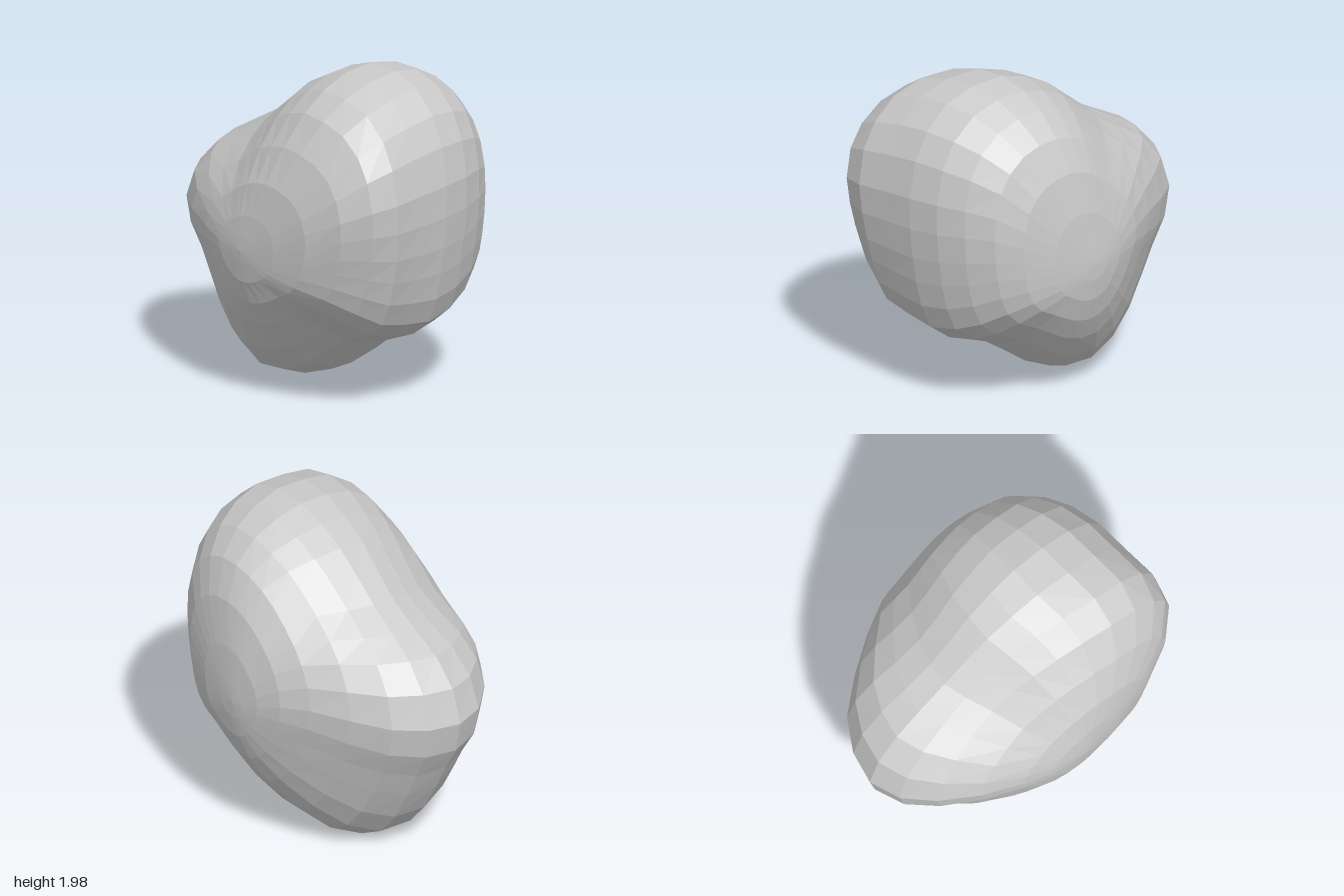
import * as THREE from 'three';

// Widest outline, counter-clockwise from +x in 12 degree steps: [x, y]
const OUTLINE = [
  [0.98, 1.0], [1.0, 1.19], [1.0, 1.38], [0.955, 1.6], [0.87, 1.77], [0.72, 1.91],
  [0.52, 1.975], [0.29, 1.98], [0.1, 1.92], [-0.08, 1.83], [-0.22, 1.72], [-0.4, 1.58],
  [-0.6, 1.47], [-0.78, 1.37], [-0.93, 1.21], [-1.0, 1.0], [-0.96, 0.8], [-0.86, 0.63],
  [-0.77, 0.46], [-0.65, 0.26], [-0.51, 0.1], [-0.32, 0.0], [-0.1, 0.01], [0.1, 0.1],
  [0.25, 0.21], [0.4, 0.31], [0.69, 0.42], [0.84, 0.53], [0.91, 0.68], [0.95, 0.84],
];

// Rings from front to back: [z, left, right, bottom, top]
const RINGS = [
  [0.75, 0.0, 0.2, 0.87, 1.04],
  [0.735, -0.13, 0.38, 0.75, 1.17],
  [0.69, -0.31, 0.62, 0.61, 1.38],
  [0.59, -0.56, 0.83, 0.44, 1.6],
  [0.45, -0.78, 0.96, 0.24, 1.79],
  [0.29, -0.93, 1.0, 0.08, 1.9],
  [0.1, -1.0, 0.98, 0.01, 1.96],
  [-0.1, -0.96, 0.945, 0.0, 1.98],
  [-0.29, -0.85, 0.89, 0.08, 1.945],
  [-0.45, -0.66, 0.81, 0.22, 1.87],
  [-0.59, -0.45, 0.7, 0.4, 1.74],
  [-0.68, -0.28, 0.56, 0.56, 1.54],
  [-0.73, -0.12, 0.37, 0.71, 1.28],
  [-0.75, 0.0, 0.19, 0.84, 1.05],
];

// Smooth swelling around one step of the outline, wrapping past the start
function swell(i, centre, width) {
  const n = OUTLINE.length;
  const d = Math.abs(i - centre);
  return Math.exp(-((Math.min(d, n - d) / width) ** 2));
}

function rockGeometry() {
  const n = OUTLINE.length;
  const positions = [0.09, 0.95, 0.757];
  const index = [];

  // Each ring blends from a circle near the poles to the full outline
  for (const [z, left, right, bottom, top] of RINGS) {
    const size = (right - left) / 2;
    const w = Math.min(1, 0.1 + 0.92 * size);
    const middle = 2 * Math.sqrt(Math.max(0, size * (1 - size)));
    OUTLINE.forEach(([x, y], i) => {
      const a = (i / n) * Math.PI * 2;
      // Full upper right shoulder; lower right is flatter in front, fuller behind
      const lower = z > 0 ? -0.06 : 0.04;
      const scale = 1 + middle * (0.06 * swell(i, 3, 2.5) + lower * swell(i, 27.5, 3.5));
      const u = THREE.MathUtils.lerp(Math.cos(a), x, w) * scale;
      const v = THREE.MathUtils.lerp(Math.sin(a), y / 0.99 - 1, w) * scale;
      // Outer rings lie closer together in the valleys of the outline
      const reach = Math.min(Math.hypot(x, y - 1), z > 0 ? 1.1 : 1);
      positions.push(
        (left + right) / 2 + u * size,
        (bottom + top) / 2 + v * (top - bottom) / 2,
        z * reach ** (w ** 4),
      );
    });
  }
  positions.push(0.08, 0.95, -0.757);

  // Pole fans and the bands between rings
  const last = RINGS.length - 1;
  const at = (k, i) => 1 + k * n + (i % n);
  const backPole = 1 + RINGS.length * n;
  for (let i = 0; i < n; i++) {
    index.push(0, at(0, i), at(0, i + 1));
    for (let k = 0; k < last; k++) {
      index.push(at(k, i), at(k + 1, i), at(k + 1, i + 1));
      index.push(at(k, i), at(k + 1, i + 1), at(k, i + 1));
    }
    index.push(backPole, at(last, i + 1), at(last, i));
  }

  const indexed = new THREE.BufferGeometry();
  indexed.setAttribute('position', new THREE.Float32BufferAttribute(positions, 3));
  indexed.setIndex(index);
  // Separate faces give the faceted stone surface
  const geometry = indexed.toNonIndexed();
  geometry.computeVertexNormals();
  return geometry;
}

export function createModel() {
  const stone = new THREE.MeshStandardMaterial({ color: 0xcacaca });
  stone.name = 'stone grey';
  stone.flatShading = true;

  const rock = new THREE.Mesh(rockGeometry(), stone);
  rock.name = 'rock';

  const group = new THREE.Group();
  group.name = 'boulder';
  group.add(rock);
  return group;
}
